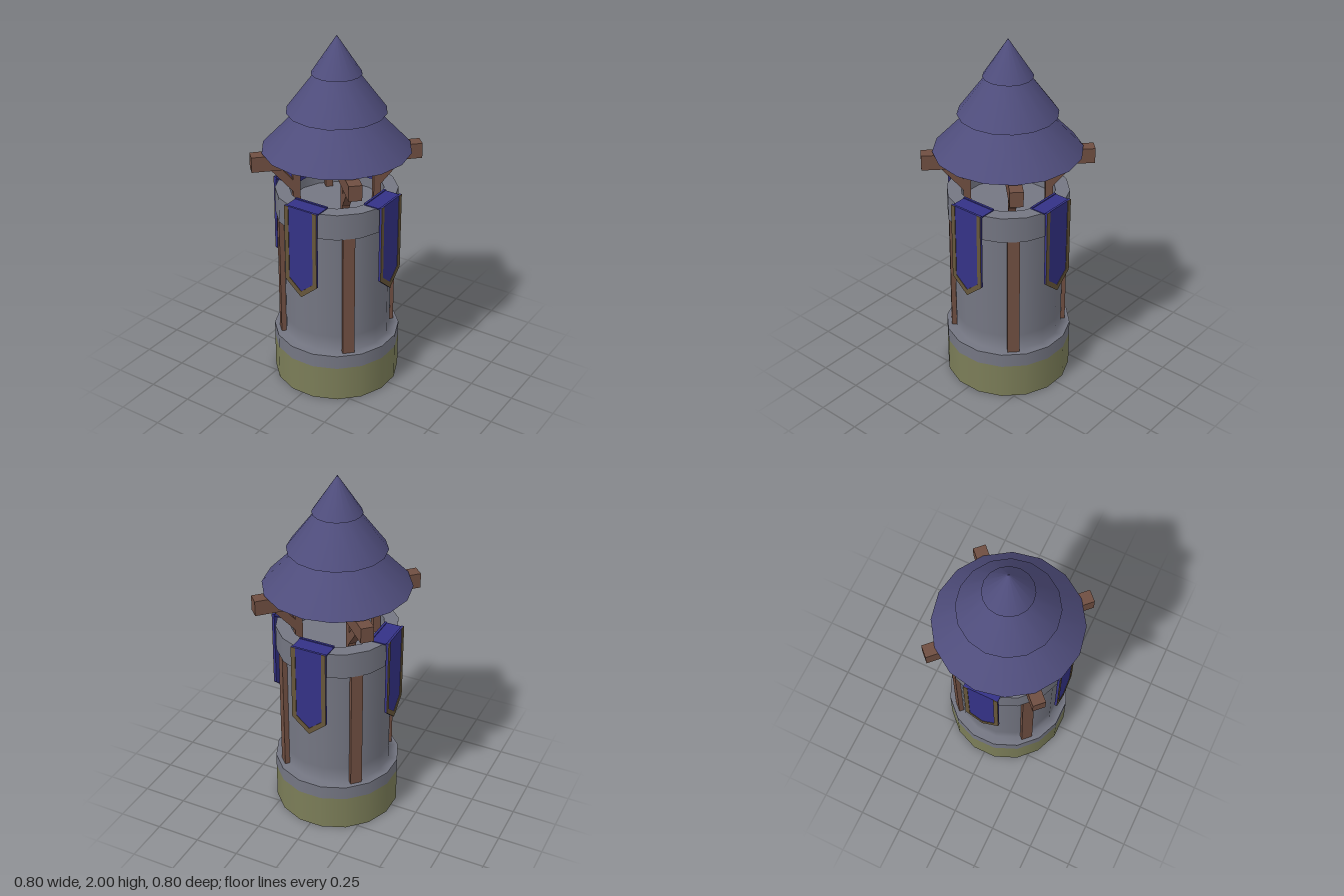
import * as THREE from 'three';

const SIDES = 16;

function material(name, color, side = THREE.FrontSide) {
  const m = new THREE.MeshStandardMaterial({ color, side });
  m.name = name;
  return m;
}

export function createModel() {
  const D = THREE.DoubleSide;
  const stone = material('grey stone', 0x747682, D);
  const moss = material('mossy stone', 0x7b7d58, D);
  const tiles = material('roof tiles', 0x4f4d7c, D);
  const wood = material('brown wood', 0x6f4e41);
  const cloth = material('blue cloth', 0x343286);
  const trim = material('gold trim', 0x66563a);

  const model = new THREE.Group();
  model.name = 'watchtower';

  const add = (parent, name, geometry, mat, x = 0, y = 0, z = 0) => {
    const mesh = new THREE.Mesh(geometry, mat);
    mesh.name = name;
    mesh.position.set(x, y, z);
    parent.add(mesh);
    return mesh;
  };
  const lathe = (points, phi) =>
    new THREE.LatheGeometry(points.map(([r, y]) => new THREE.Vector2(r, y)), SIDES, phi);
  const box = (w, h, d) => new THREE.BoxGeometry(w, h, d);

  // Stone tower: one flat of the polygon faces each axis
  const tower = new THREE.Group();
  tower.name = 'tower';
  model.add(tower);
  const half = Math.PI / SIDES;
  const stonework = (name, points, mat = stone) => add(tower, name, lathe(points, half), mat);
  stonework('mossyBase', [[0.352, 0], [0.352, 0.205]], moss);
  stonework('baseTop', [[0.352, 0.205], [0.352, 0.285]]);
  stonework('body', [[0.352, 0.285], [0.301, 0.286], [0.301, 0.38], [0.301, 1.0]]);

  // Parapet, one lathe per face so that its edges stay sharp
  const rim = [[0.301, 1.0], [0.332, 1.0], [0.332, 1.145], [0.255, 1.145], [0.255, 1.05], [0, 1.05]];
  const rimNames = ['parapetUnderside', 'parapetOuter', 'parapetTop', 'parapetInner', 'floor'];
  rimNames.forEach((name, i) => stonework(name, [rim[i], rim[i + 1]]));

  // Three stacked roof tiers with flat lips between them
  const roof = new THREE.Group();
  roof.name = 'roof';
  model.add(roof);
  const profile = [[0.4, 1.38], [0.2, 1.592], [0.267, 1.592], [0.115, 1.797], [0.133, 1.797], [0, 2]];
  for (let i = 0; i < 5; i++) {
    add(roof, i % 2 ? 'roofLip' : 'roofTier', lathe([profile[i], profile[i + 1]], 0), tiles);
  }

  // Timber on the four diagonals, built with z pointing outward
  const brace = new THREE.ExtrudeGeometry(
    new THREE.Shape([[0.23, 1.14], [0.36, 1.29], [0.3, 1.29], [0.23, 1.205]].map(p => new THREE.Vector2(...p))),
    { depth: 0.04, bevelEnabled: false }
  ).rotateY(-Math.PI / 2).translate(0.02, 0, 0);
  for (let i = 0; i < 4; i++) {
    const frame = new THREE.Group();
    frame.name = 'cornerTimber';
    frame.rotation.y = Math.PI / 4 + i * Math.PI / 2;
    model.add(frame);
    add(frame, 'wallPost', box(0.065, 0.715, 0.05), wood, 0, 0.6425, 0.297);
    add(frame, 'roofPost', box(0.04, 0.24, 0.04), wood, 0, 1.17, 0.22);
    add(frame, 'brace', brace, wood);
    if (i < 2) add(frame, 'crossBeam', box(0.07, 0.085, 0.92), wood, 0, 1.332, 0);
  }

  // Pointed banners hanging over the parapet on the four sides
  const pennant = (w, top, shoulder, tip) =>
    [[-w, top], [-w, shoulder], [0, tip], [w, shoulder], [w, top]].map(p => new THREE.Vector2(...p));
  const plate = new THREE.Shape(pennant(0.1, 1.155, 0.715, 0.628));
  const border = new THREE.Shape([
    ...pennant(0.1, 1.155, 0.715, 0.628),
    ...pennant(0.075, 1.155, 0.728, 0.664).reverse(),
  ]);
  const clothGeometry = new THREE.ExtrudeGeometry(plate, { depth: 0.012, bevelEnabled: false });
  const trimGeometry = new THREE.ExtrudeGeometry(border, { depth: 0.003, bevelEnabled: false });
  for (let i = 0; i < 4; i++) {
    const banner = new THREE.Group();
    banner.name = 'banner';
    banner.rotation.y = i * Math.PI / 2;
    model.add(banner);
    add(banner, 'bannerCloth', clothGeometry, cloth, 0, 0, 0.331);
    add(banner, 'bannerBorder', trimGeometry, trim, 0, 0, 0.343);
    add(banner, 'bannerStrap', box(0.2, 0.006, 0.095), cloth, 0, 1.147, 0.287);
    add(banner, 'bannerInnerEdge', box(0.2, 0.04, 0.012), cloth, 0, 1.135, 0.241);
  }

  return model;
}
